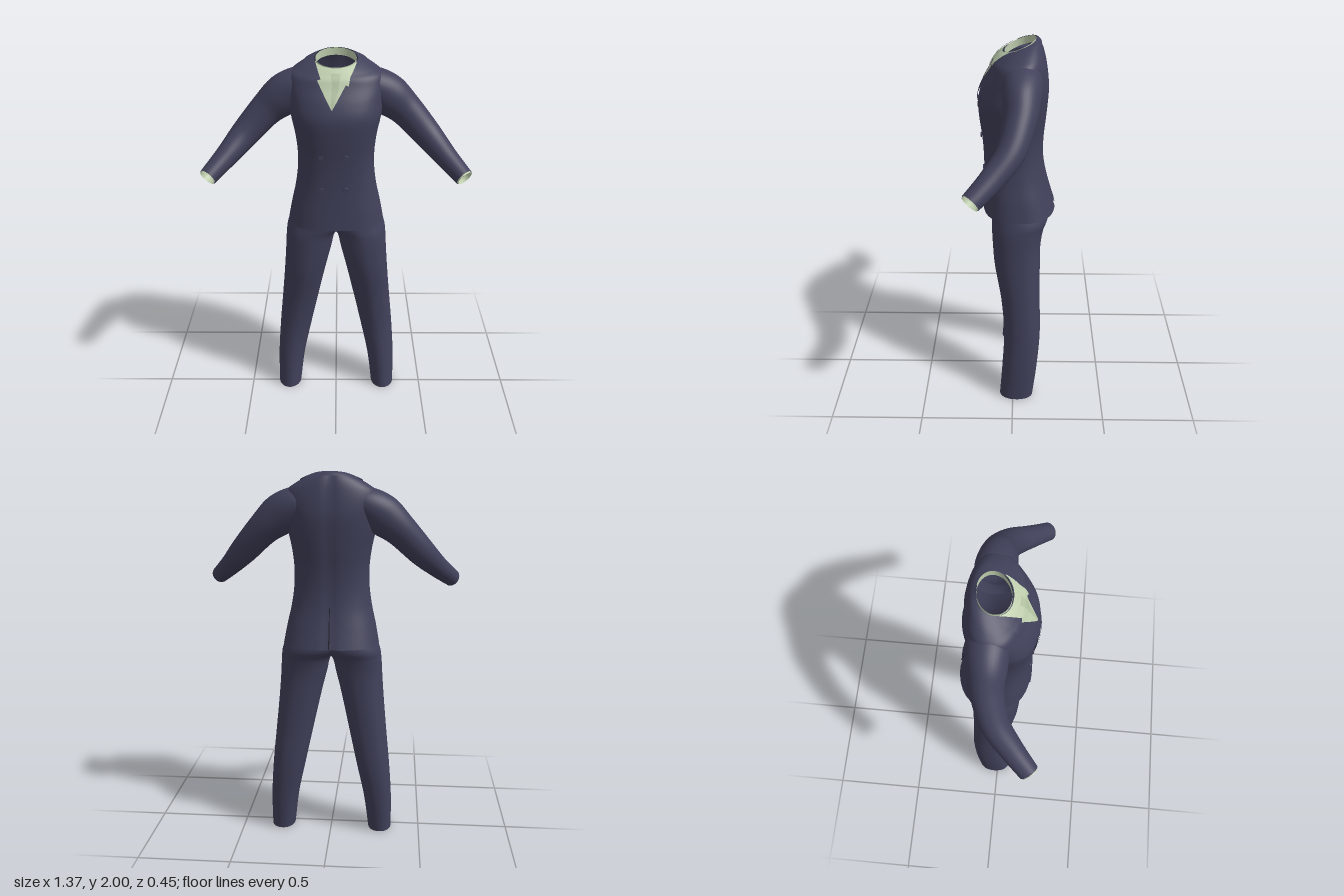
import * as THREE from 'three';

const mat = (name, color) => {
  const m = new THREE.MeshStandardMaterial({ color, side: THREE.DoubleSide });
  m.name = name;
  return m;
};

// Smooth interpolation through rows of numbers; t counts rows
function mix(rows, t) {
  const last = rows.length - 1;
  const i = Math.min(Math.max(Math.floor(t), 0), last - 1), f = t - i;
  const at = (k) => rows[Math.min(Math.max(k, 0), last)];
  const [p, q, r, s] = [at(i - 1), at(i), at(i + 1), at(i + 2)];
  return q.map((b, k) => {
    const a = p[k], c = r[k], d = s[k];
    return b + 0.5 * f * (c - a + f * (2 * a - 5 * b + 4 * c - d + f * (3 * (b - c) + d - a)));
  });
}

// Grid surface from point(u, v), optionally closed around u
function surface(point, nu, nv, closed = false) {
  const pos = [], idx = [], cols = closed ? nu : nu + 1;
  for (let j = 0; j <= nv; j++)
    for (let i = 0; i < cols; i++) pos.push(...point(i / nu, j / nv));
  for (let j = 0; j < nv; j++)
    for (let i = 0; i < nu; i++) {
      const a = j * cols + i, b = j * cols + (i + 1) % cols;
      idx.push(a, a + cols, b, b, a + cols, b + cols);
    }
  const g = new THREE.BufferGeometry();
  g.setAttribute('position', new THREE.Float32BufferAttribute(pos, 3));
  g.setIndex(idx);
  g.computeVertexNormals();
  return g;
}

function mirrored(geo) {
  const g = geo.clone().scale(-1, 1, 1);
  g.setIndex(Array.from(geo.index.array).reverse());
  g.computeVertexNormals();
  return g;
}

// Cross-section rows: y, centre x, half width, front z, back z, roundness, tilt
function ringPoint([y, xc, w, zf, zb, n, tilt], a, ridge = 0, groove = 0) {
  const pw = (v) => Math.sign(v) * Math.abs(v) ** (2 / n);
  const dx = w * pw(Math.cos(a)), s = Math.sin(a), zc = (zf + zb) / 2;
  const crease = Math.exp(-((dx / 0.025) ** 2));
  const z = zc + (zf - zb) / 2 * pw(s) + crease * (s > 0 ? ridge : groove);
  return [xc + dx, y + tilt * (z - zc), z];
}

const TORSO = [
  [1.10, 0, 0.256, 0.16, -0.222, 2.5, 0],
  [1.20, 0, 0.237, 0.155, -0.192, 2.5, 0],
  [1.30, 0, 0.215, 0.152, -0.168, 2.4, 0],
  [1.40, 0, 0.201, 0.153, -0.156, 2.4, 0],
  [1.50, 0, 0.199, 0.16, -0.157, 2.4, 0],
  [1.60, 0, 0.21, 0.173, -0.167, 2.4, 0],
  [1.70, 0, 0.23, 0.178, -0.176, 2.4, 0],
  [1.78, 0, 0.237, 0.152, -0.179, 2.4, 0],
  [1.85, 0, 0.243, 0.115, -0.17, 2.4, -0.03],
  [1.90, 0, 0.233, 0.095, -0.158, 2.3, -0.1],
  [1.932, 0, 0.19, 0.078, -0.145, 2.2, -0.22],
  [1.955, 0, 0.143, 0.064, -0.13, 2.1, -0.32],
  [1.968, 0, 0.108, 0.05, -0.115, 2, -0.38],
];
const NECK = TORSO.length - 1;

// Point on the jacket front (side 1) or back (side -1) at a given x and row t
function onJacket(x, t, side, off) {
  const [y, , w, zf, zb, n, tilt] = mix(TORSO, t), zc = (zf + zb) / 2;
  const k = Math.max(0, 1 - Math.min(1, Math.abs(x) / w) ** n) ** (1 / n);
  const z = zc + side * (zf - zb) / 2 * k;
  return [x, y + tilt * (z - zc) + off * 0.3, z + side * off];
}
function rowAt(x, y, side) {
  let lo = 0, hi = NECK;
  for (let i = 0; i < 24; i++) {
    const m = (lo + hi) / 2;
    if (onJacket(x, m, side, 0)[1] < y) lo = m; else hi = m;
  }
  return (lo + hi) / 2;
}

// Four-cornered patch laid on the jacket: low left, low right, high left, high right
function patch(corners, off, side = 1) {
  const [a, b, c, d] = corners, L = THREE.MathUtils.lerp;
  return surface((u, v) => {
    const [x, y] = [0, 1].map((k) => L(L(a[k], b[k], u), L(c[k], d[k], u), v));
    return onJacket(x, rowAt(x, y, side), side, typeof off === 'function' ? off(u) : off);
  }, 14, 14);
}

const LEG = [ // y, inner x, outer x, front z, back z
  [0.005, 0.212, 0.342, 0.07, -0.112],
  [0.2, 0.187, 0.34, 0.055, -0.135],
  [0.4, 0.145, 0.326, 0.045, -0.15],
  [0.6, 0.102, 0.306, 0.06, -0.147],
  [0.8, 0.058, 0.287, 0.094, -0.145],
  [0.93, 0.026, 0.277, 0.105, -0.147],
  [1.02, 0.002, 0.271, 0.109, -0.162],
  [1.08, -0.06, 0.26, 0.11, -0.185],
  [1.18, -0.1, 0.22, 0.11, -0.17],
].map(([y, i, o, f, b]) => [y, (i + o) / 2, (o - i) / 2, f, b, 2.2, 0]);

const ARM = [ // centre x, y, z and the two radii
  [0.10, 1.85, -0.04, 0.07, 0.09],
  [0.19, 1.828, -0.045, 0.093, 0.1],
  [0.27, 1.775, -0.042, 0.105, 0.095],
  [0.36, 1.70, -0.035, 0.086, 0.08],
  [0.47, 1.585, 0.008, 0.073, 0.07],
  [0.56, 1.495, 0.092, 0.058, 0.06],
  [0.65, 1.415, 0.19, 0.046, 0.05],
];
function armTube(t0, t1, scale, rows) {
  return surface((u, v) => {
    const t = t0 + (t1 - t0) * v, r = mix(ARM, t);
    const c = new THREE.Vector3(...r);
    const T = new THREE.Vector3(...mix(ARM, t + 0.01)).sub(new THREE.Vector3(...mix(ARM, t - 0.01))).normalize();
    const U = T.clone().cross(new THREE.Vector3(0, 0, 1)).normalize();
    const V = U.clone().cross(T), a = u * Math.PI * 2;
    c.addScaledVector(U, r[3] * scale * Math.cos(a)).addScaledVector(V, r[4] * scale * Math.sin(a));
    return c.toArray();
  }, 36, rows, true);
}

export function createModel() {
  const model = new THREE.Group();
  model.name = 'suit';
  const navy = mat('navy cloth', 0x40405a);
  const pale = mat('pale green shirt', 0xbfceae);
  const tieMat = mat('pale green tie', 0xb2c1a1);
  const dark = mat('dark seam', 0x1e1e2a);
  const add = (name, geo, m) => {
    const mesh = new THREE.Mesh(geo, m);
    mesh.name = name;
    model.add(mesh);
    return mesh;
  };
  const pair = (name, geo, m) => {
    add(name + 'Left', geo, m);
    add(name + 'Right', mirrored(geo), m);
  };

  // Jacket body, sleeves and trousers
  add('jacketBody', surface((u, v) => ringPoint(mix(TORSO, v * NECK), u * Math.PI * 2, 0, 0.007), 72, 72, true), navy);
  pair('sleeve', armTube(0, 5.93, 1, 48), navy);
  pair('shirtCuff', armTube(5.75, 6, 0.92, 4), pale);
  pair('trouserLeg', surface((u, v) => ringPoint(mix(LEG, v * (LEG.length - 1)), u * Math.PI * 2, 0.004), 48, 48, true), navy);

  // Shirt front filling the V of the jacket
  add('shirtFront', surface((u, v) => {
    const x = 0.1 - 0.203 * u;
    const low = x > -0.02 ? 1.755 + (x + 0.02) * 1.62
      : x > -0.09 ? 1.755 - (x + 0.02) * 1.75 : 1.8775 - (x + 0.09) * 6;
    const t = rowAt(x, low, 1);
    return onJacket(x, t + (NECK - t) * v, 1, 0.004);
  }, 40, 20), pale);

  // Standing shirt collar and turned-down jacket collar around the neck
  add('shirtCollarBand', surface((u, v) => {
    const [x, y, z] = ringPoint(TORSO[NECK], u * Math.PI * 2);
    return [x * 0.95, y - 0.035 + 0.038 * v, -0.0325 + (z + 0.0325) * 0.95];
  }, 48, 3, true), pale);
  add('jacketCollar', surface((u, v) => {
    const [x, y, z] = ringPoint(mix(TORSO, NECK - 1.3 + 1.3 * v), Math.PI * (0.95 + 1.1 * u));
    return [x * 1.03, y + 0.003, -0.0325 + (z + 0.0325) * 1.04];
  }, 36, 8), navy);

  // Shirt collar points and tie
  pair('collarPoint', patch([[0.062, 1.862], [0.048, 1.868], [0.08, 1.95], [0.006, 1.932]], 0.01), pale);
  add('tieKnot', patch([[0.012, 1.855], [-0.018, 1.855], [0.022, 1.915], [-0.026, 1.915]], 0.013), tieMat);
  add('tieBlade', patch([[-0.014, 1.764], [-0.024, 1.764], [0.016, 1.857], [-0.022, 1.857]], 0.008), tieMat);

  // Crossed front panel and peaked lapels
  add('frontPanel', patch([[0.1, 1.102], [-0.1, 1.102], [0.1, 1.63], [-0.1, 1.63]], (u) => 0.006 * u), navy);
  add('lapelLeft', patch([[-0.07, 1.635], [-0.1, 1.625], [0.165, 1.865], [0.057, 1.882]], 0.008), navy);
  add('lapelRight', patch([[-0.02, 1.752], [-0.065, 1.69], [-0.09, 1.882], [-0.165, 1.865]], 0.007), navy);
  pair('collarFront', patch([[0.155, 1.878], [0.075, 1.892], [0.135, 1.945], [0.102, 1.955]], 0.008), navy);

  // Double row of buttons
  for (const x of [-0.075, 0.05])
    for (const y of [1.33, 1.51]) {
      const b = add('button', new THREE.CylinderGeometry(0.012, 0.014, 0.007, 16), navy);
      b.rotation.x = Math.PI / 2;
      b.position.set(...onJacket(x, rowAt(x, y, 1), 1, 0.006));
    }

  // Vent at the back hem
  add('backVent', patch([[0.003, 1.102], [-0.003, 1.102], [0.002, 1.31], [-0.002, 1.31]], 0.001, -1), dark);
  return model;
}
